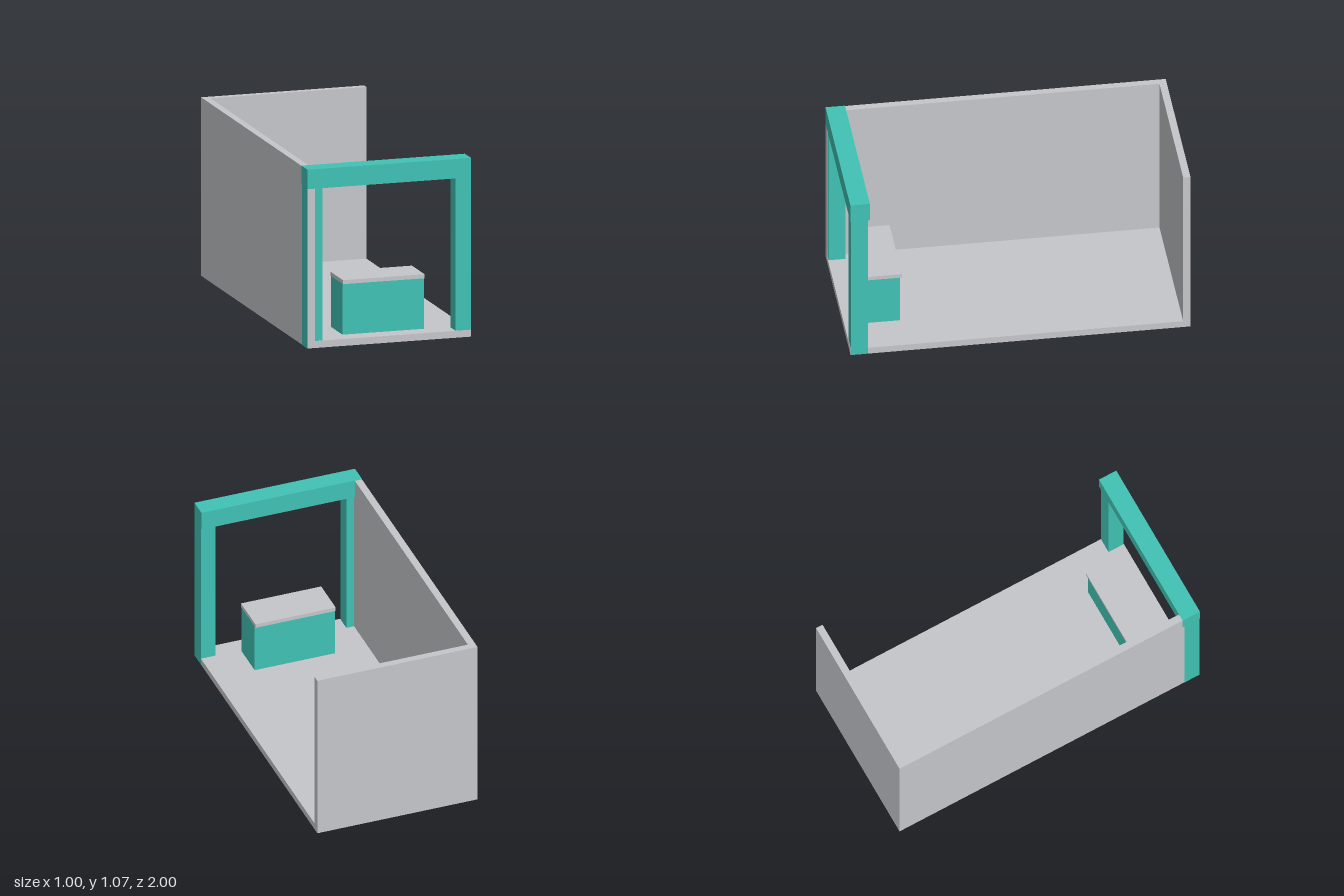
import * as THREE from 'three';

export function createModel() {
  const group = new THREE.Group();
  const grey = new THREE.MeshStandardMaterial({ color: 0xc5c6ca });
  grey.name = 'light grey';
  const teal = new THREE.MeshStandardMaterial({ color: 0x40c2b4 });
  teal.name = 'teal';

  // Box given by its minimum and maximum corners
  function box(name, material, [x0, y0, z0], [x1, y1, z1]) {
    const geometry = new THREE.BoxGeometry(x1 - x0, y1 - y0, z1 - z0);
    const mesh = new THREE.Mesh(geometry, material);
    mesh.position.set((x0 + x1) / 2, (y0 + y1) / 2, (z0 + z1) / 2);
    mesh.name = name;
    group.add(mesh);
  }

  // Room shell: floor, one side wall, back wall
  box('floor', grey, [-0.499, 0.001, -1], [0.499, 0.042, 0.999]);
  box('sideWall', grey, [-0.499, 0.001, -1], [-0.455, 1.066, 0.999]);
  box('backWall', grey, [-0.499, 0.001, -1], [0.499, 1.066, -0.957]);

  // Entrance frame: posts just proud of the shell sides, behind its front edge
  box('rightPost', teal, [-0.5, 0, 0.897], [-0.407, 0.96, 0.996]);
  box('leftPost', teal, [0.407, 0.002, 0.897], [0.5, 0.96, 0.996]);
  box('headerBeam', teal, [-0.5, 0.952, 0.885], [0.5, 1.068, 1]);

  // Counter, its base reaching through the floor
  box('counterBase', teal, [-0.25, 0, 0.672], [0.25, 0.345, 0.889]);
  box('counterTop', grey, [-0.25, 0.345, 0.66], [0.25, 0.369, 0.897]);

  return group;
}
